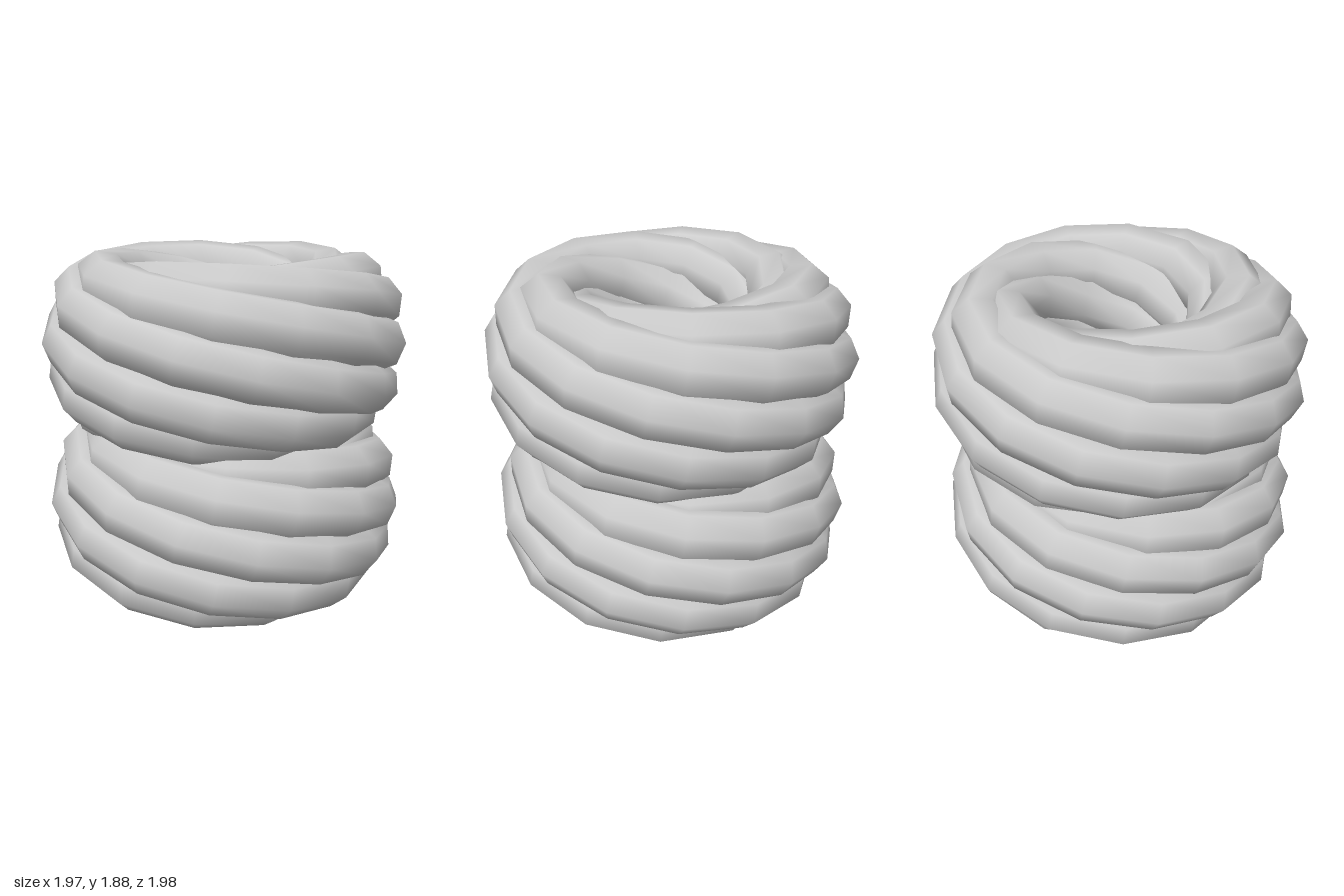
import * as THREE from 'three';

const STRANDS = 9;      // passes around the vertical axis
const TWISTS = 5;       // turns around the ring's own core
const RING = 0.66;      // ring radius
const TUBE = 0.15;      // rope strand radius
const WIDE = 0.34 - TUBE, TALL = 0.497 - TUBE; // oval the strands wind on

// One endless strand wound around an oval ring
class CoilCurve extends THREE.Curve {
  getPoint(t, target = new THREE.Vector3()) {
    const around = t * STRANDS * Math.PI * 2;
    const phase = -t * TWISTS * Math.PI * 2;
    const r = RING + WIDE * Math.cos(phase);
    return target.set(r * Math.sin(around), TALL * Math.sin(phase), r * Math.cos(around));
  }
}

export function createModel() {
  const group = new THREE.Group();
  group.name = 'stackedRopeCoils';
  const material = new THREE.MeshStandardMaterial({ color: 0xcccccc });

  const curve = new CoilCurve();
  curve.arcLengthDivisions = 1200;
  const geometry = new THREE.TubeGeometry(curve, 112, TUBE, 8, true);

  // Two identical coils, one resting on the other
  ['lowerCoil', 'upperCoil'].forEach((name, i) => {
    const coil = new THREE.Mesh(geometry, material);
    coil.name = name;
    coil.position.y = 0.495 + i * 0.89;
    group.add(coil);
  });
  return group;
}
